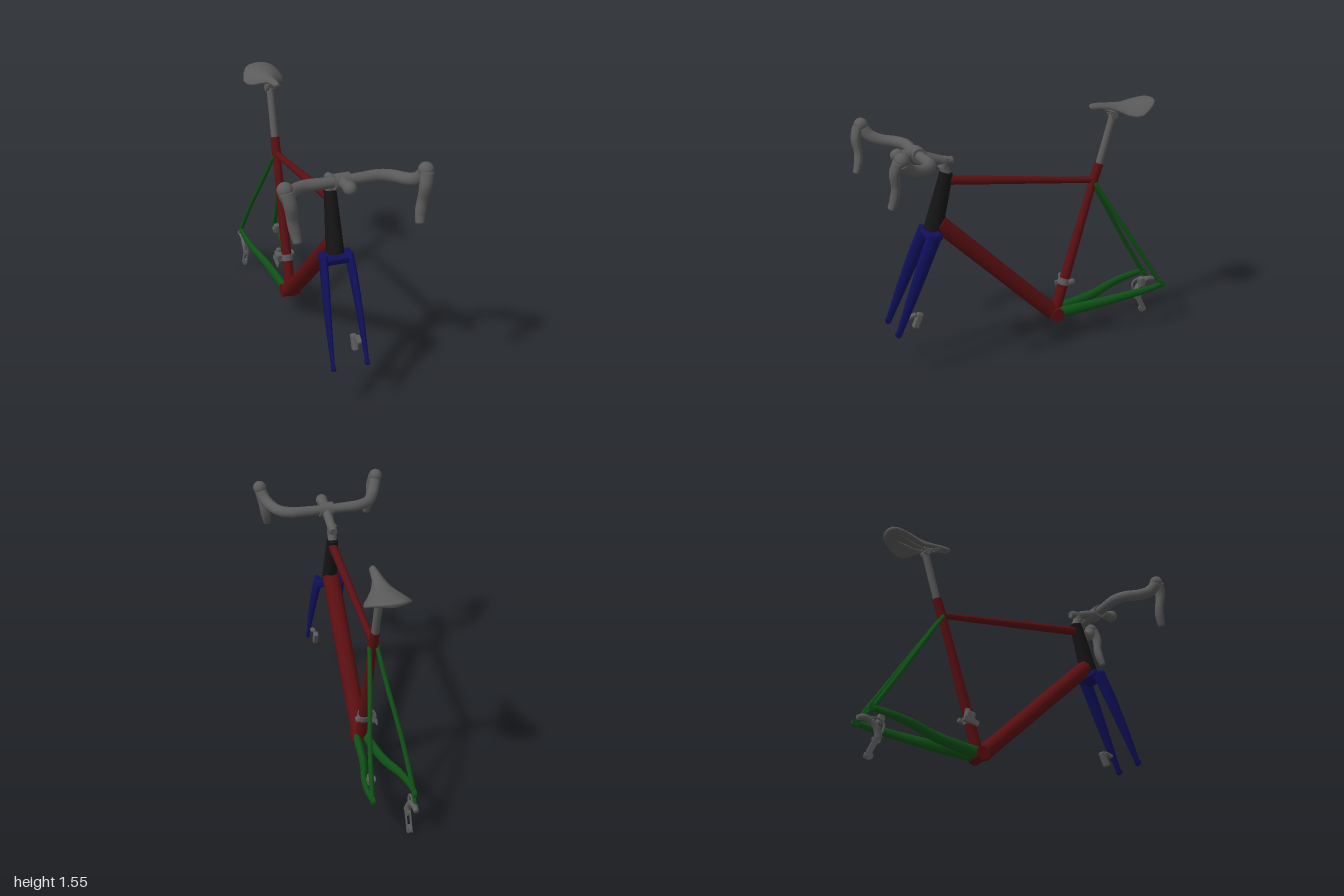
import * as THREE from 'three';
import { RoundedBoxGeometry } from 'three/addons/geometries/RoundedBoxGeometry.js';

const mat = (name, color) => Object.assign(new THREE.MeshStandardMaterial({ color }), { name });
const V = (x, y, z) => new THREE.Vector3(x, y, z);

export function createModel() {
  const model = new THREE.Group();
  model.name = 'roadBikeFrame';
  const red = mat('dark red', 0x5a0f11);
  const green = mat('dark green', 0x0e5015);
  const blue = mat('navy blue', 0x10105c);
  const black = mat('near black', 0x141414);
  const grey = mat('component grey', 0x5a5a5a);

  const add = (name, geometry, material, parent = model) => {
    const mesh = new THREE.Mesh(geometry, material);
    mesh.name = name;
    parent.add(mesh);
    return mesh;
  };
  const group = (name) => {
    const g = new THREE.Group();
    g.name = name;
    model.add(g);
    return g;
  };

  // Straight tapered tube between two points, widened or narrowed in x by sx
  const rod = (name, a, b, ra, rb, material, parent, sx = 1) => {
    const dir = b.clone().sub(a);
    const geo = new THREE.CylinderGeometry(rb, ra, dir.length(), 28);
    geo.scale(sx, 1, 1);
    const mesh = add(name, geo, material, parent);
    mesh.quaternion.setFromUnitVectors(V(0, 1, 0), dir.normalize());
    mesh.position.copy(a).add(b).multiplyScalar(0.5);
    return mesh;
  };

  // Curved tube with a changing radius and closed ends
  const sweep = (name, points, radii, material, parent, sx = 1) => {
    const n = 40, sides = 16;
    const curve = new THREE.CatmullRomCurve3(points);
    const geo = new THREE.TubeGeometry(curve, n, 1, sides);
    const pos = geo.attributes.position, v = V(0, 0, 0);
    for (let i = 0; i <= n; i++) {
      const t = THREE.MathUtils.clamp((i - 1) / (n - 2), 0, 1);
      const f = t * (radii.length - 1), k = Math.min(Math.floor(f), radii.length - 2);
      const r = i === 0 || i === n ? 0 : THREE.MathUtils.lerp(radii[k], radii[k + 1], f - k);
      const from = curve.getPointAt(i / n), to = curve.getPointAt(t);
      for (let j = 0; j <= sides; j++) {
        const id = i * (sides + 1) + j;
        v.fromBufferAttribute(pos, id).sub(from).multiplyScalar(r);
        v.x *= sx;
        v.add(to);
        pos.setXYZ(id, v.x, v.y, v.z);
      }
    }
    geo.computeVertexNormals();
    return add(name, geo, material, parent);
  };

  const box = (name, size, at, tilt, material, parent) => {
    const r = Math.min(...size) * 0.3;
    const mesh = add(name, new RoundedBoxGeometry(...size, 2, r), material, parent);
    mesh.position.set(...at);
    mesh.rotation.x = tilt;
    return mesh;
  };
  const ball = (name, r, at, scale, parent) => {
    const mesh = add(name, new THREE.SphereGeometry(r, 20, 14), grey, parent);
    mesh.position.set(...at);
    mesh.scale.set(...scale);
    return mesh;
  };

  // Main frame
  rod('headTube', V(0, 0.897, 0.633), V(0, 1.245, 0.538), 0.06, 0.04, black, model, 0.87);
  rod('downTube', V(0, 0.94, 0.6), V(0, 0.21, -0.15), 0.052, 0.05, red, model, 1.08);
  rod('topTube', V(0, 1.195, 0.53), V(0, 1.062, -0.43), 0.028, 0.019, red);
  rod('seatTube', V(0, 0.2, -0.18), V(0, 1.08, -0.445), 0.036, 0.024, red);
  rod('seatTubeCollar', V(0, 1.05, -0.437), V(0, 1.165, -0.476), 0.029, 0.029, red);
  rod('bottomBracketShell', V(-0.06, 0.195, -0.175), V(0.06, 0.195, -0.175), 0.043, 0.043, red);

  // Fork, stays and dropouts
  box('forkCrown', [0.19, 0.05, 0.09], [0, 0.875, 0.648], 0.25, blue);
  for (const s of [1, -1]) {
    const side = s > 0 ? 'left' : 'right';
    sweep(side + 'ForkBlade', [V(s * 0.077, 0.893, 0.648), V(s * 0.087, 0.75, 0.715), V(s * 0.097, 0.55, 0.802),
      V(s * 0.104, 0.31, 0.905)], [0.048, 0.043, 0.033, 0.019], blue, model, 0.48);
    rod(side + 'ForkDropout', V(s * 0.093, 0.31, 0.907), V(s * 0.113, 0.31, 0.907), 0.019, 0.019, blue);
    sweep(side + 'ChainStay', [V(s * 0.03, 0.2, -0.19), V(s * 0.045, 0.213, -0.34), V(s * 0.068, 0.235, -0.5),
      V(s * 0.11, 0.27, -0.67), V(s * 0.127, 0.29, -0.8), V(s * 0.127, 0.307, -0.905)],
      [0.036, 0.036, 0.033, 0.029, 0.025, 0.018], green, model, 0.7);
    sweep(side + 'SeatStay', [V(s * 0.022, 1.045, -0.44), V(s * 0.05, 0.85, -0.562), V(s * 0.095, 0.58, -0.73),
      V(s * 0.125, 0.31, -0.9)], [0.013, 0.014, 0.014, 0.014], green);
    rod(side + 'RearDropout', V(s * 0.113, 0.305, -0.905), V(s * 0.135, 0.305, -0.905), 0.024, 0.024, green);
  }
  rod('derailleurHanger', V(-0.12, 0.3, -0.905), V(-0.12, 0.25, -0.95), 0.012, 0.01, green);

  // Seat post, clamp and saddle rails
  const seat = group('seatAssembly');
  rod('seatPost', V(0, 1.13, -0.468), V(0, 1.465, -0.566), 0.023, 0.023, grey, seat);
  rod('seatClamp', V(-0.032, 1.468, -0.565), V(0.032, 1.468, -0.565), 0.021, 0.021, grey, seat);
  box('clampHead', [0.06, 0.02, 0.06], [0, 1.488, -0.56], 0.1, grey, seat);
  for (const s of [1, -1]) {
    sweep('saddleRail', [V(s * 0.01, 1.535, -0.45), V(s * 0.02, 1.497, -0.53), V(s * 0.022, 1.488, -0.62),
      V(s * 0.04, 1.525, -0.76)], [0.007, 0.007], grey, seat);
  }

  // Saddle stations from nose to tail: z, half width, top height, side drop
  const stations = [
    [-0.4, 0.008, 1.545, 0.004], [-0.41, 0.02, 1.552, 0.018], [-0.46, 0.026, 1.554, 0.022],
    [-0.52, 0.034, 1.549, 0.024], [-0.58, 0.056, 1.545, 0.04], [-0.63, 0.092, 1.543, 0.062],
    [-0.67, 0.12, 1.546, 0.07], [-0.71, 0.131, 1.551, 0.068], [-0.755, 0.12, 1.555, 0.046],
    [-0.8, 0.095, 1.557, 0.022], [-0.825, 0.066, 1.555, 0.01], [-0.837, 0.03, 1.552, 0.004]];
  const half = 10, ring = half * 2 + 2, verts = [], faces = [];
  stations.forEach(([z, w, top, drop], i) => {
    for (let j = 0; j < ring; j++) {
      const under = j > half;
      const u = (under ? ring - 1 - j : j) / half * 2 - 1;
      const thick = under ? 0.012 + 0.022 * (1 - u * u) * Math.min(1, w / 0.05) : 0;
      verts.push(u * w, top - drop * Math.abs(u) ** 2.2 - thick, z);
      if (i) {
        const a = (i - 1) * ring + j, b = (i - 1) * ring + (j + 1) % ring;
        faces.push(a, b, a + ring, b, b + ring, a + ring);
      }
    }
  });
  const last = (stations.length - 1) * ring;
  for (let j = 1; j < ring - 1; j++) faces.push(0, j + 1, j, last, last + j, last + j + 1);
  const saddle = new THREE.BufferGeometry();
  saddle.setAttribute('position', new THREE.Float32BufferAttribute(verts, 3));
  saddle.setIndex(faces);
  saddle.computeVertexNormals();
  grey.side = THREE.DoubleSide;
  add('saddle', saddle, grey, seat);

  // Stem, spacers and front mount
  const bars = group('handlebarAssembly');
  rod('headsetSpacers', V(0, 1.24, 0.54), V(0, 1.29, 0.556), 0.03, 0.027, grey, bars);
  rod('steererClamp', V(0, 1.275, 0.56), V(0, 1.335, 0.542), 0.03, 0.028, grey, bars);
  rod('stemCap', V(0, 1.312, 0.5), V(0, 1.318, 0.56), 0.024, 0.03, grey, bars);
  rod('stem', V(0, 1.312, 0.54), V(0, 1.372, 0.71), 0.028, 0.03, grey, bars);
  rod('barClamp', V(-0.045, 1.375, 0.71), V(0.045, 1.375, 0.71), 0.045, 0.045, grey, bars);
  rod('frontMountArm', V(0, 1.38, 0.72), V(0, 1.385, 0.82), 0.03, 0.03, grey, bars, 1.1);
  ball('frontMount', 0.038, [0, 1.385, 0.83], [1, 1, 1.1], bars);

  // Handlebar with hoods and brake levers
  for (const s of [1, -1]) {
    sweep('handlebarHalf', [V(0, 1.375, 0.71), V(s * 0.12, 1.375, 0.708), V(s * 0.22, 1.377, 0.712),
      V(s * 0.29, 1.378, 0.75), V(s * 0.335, 1.385, 0.82), V(s * 0.365, 1.41, 0.88), V(s * 0.39, 1.465, 0.925)],
      [0.028, 0.032, 0.034, 0.035, 0.035, 0.037, 0.038], grey, bars);
    ball('hoodHorn', 0.043, [s * 0.39, 1.477, 0.925], [1, 1, 1], bars);
    sweep('brakeLever', [V(s * 0.388, 1.47, 0.945), V(s * 0.374, 1.4, 0.965), V(s * 0.362, 1.31, 0.958),
      V(s * 0.35, 1.245, 0.968), V(s * 0.343, 1.195, 0.985)], [0.032, 0.03, 0.025, 0.026, 0.02], grey, bars, 1.2);
  }

  // Disc brake calipers on the left side
  const frontBrake = group('frontCaliper');
  box('caliperBody', [0.035, 0.1, 0.042], [0.075, 0.365, 0.775], -0.4, grey, frontBrake);
  box('caliperMount', [0.03, 0.022, 0.06], [0.085, 0.405, 0.815], 0.3, grey, frontBrake);
  const rearBrake = group('rearCaliper');
  box('caliperBody', [0.04, 0.07, 0.04], [0.098, 0.34, -0.765], 0.15, grey, rearBrake);
  rod('caliperPiston', V(0.07, 0.34, -0.765), V(0.12, 0.34, -0.765), 0.018, 0.018, grey, rearBrake);

  // Front derailleur on the seat tube
  const front = group('frontDerailleur');
  rod('clampBand', V(0, 0.385, -0.236), V(0, 0.425, -0.248), 0.04, 0.04, grey, front);
  box('derailleurBody', [0.045, 0.07, 0.065], [-0.05, 0.405, -0.265], 0.2, grey, front);
  box('cagePlate', [0.012, 0.035, 0.1], [-0.068, 0.375, -0.26], 0.25, grey, front);
  box('clampBolt', [0.03, 0.03, 0.04], [0.045, 0.41, -0.275], 0.2, grey, front);
  box('linkArm', [0.03, 0.03, 0.03], [-0.045, 0.445, -0.275], 0, grey, front);

  // Rear derailleur: knuckle, curved cable link, parallelogram, cage and pulleys
  const rear = group('rearDerailleur');
  sweep('upperKnuckle', [V(-0.115, 0.235, -0.985), V(-0.115, 0.245, -0.94), V(-0.11, 0.225, -0.89)],
    [0.015, 0.02, 0.018], grey, rear);
  sweep('cableLoop', [V(-0.115, 0.248, -0.91), V(-0.12, 0.252, -0.86), V(-0.12, 0.225, -0.828), V(-0.115, 0.17, -0.835)],
    [0.007, 0.007], grey, rear);
  sweep('parallelogram', [V(-0.115, 0.235, -0.9), V(-0.112, 0.19, -0.865), V(-0.105, 0.14, -0.848)],
    [0.017, 0.02, 0.022], grey, rear);
  for (const x of [-0.116, -0.09]) {
    box('cagePlate', [0.006, 0.15, 0.03], [x, 0.085, -0.885], 0.42, grey, rear);
  }
  for (const [y, z] of [[0.132, -0.862], [0.033, -0.902]]) {
    rod('pulley', V(-0.11, y, z), V(-0.096, y, z), 0.026, 0.026, grey, rear);
  }
  return model;
}
